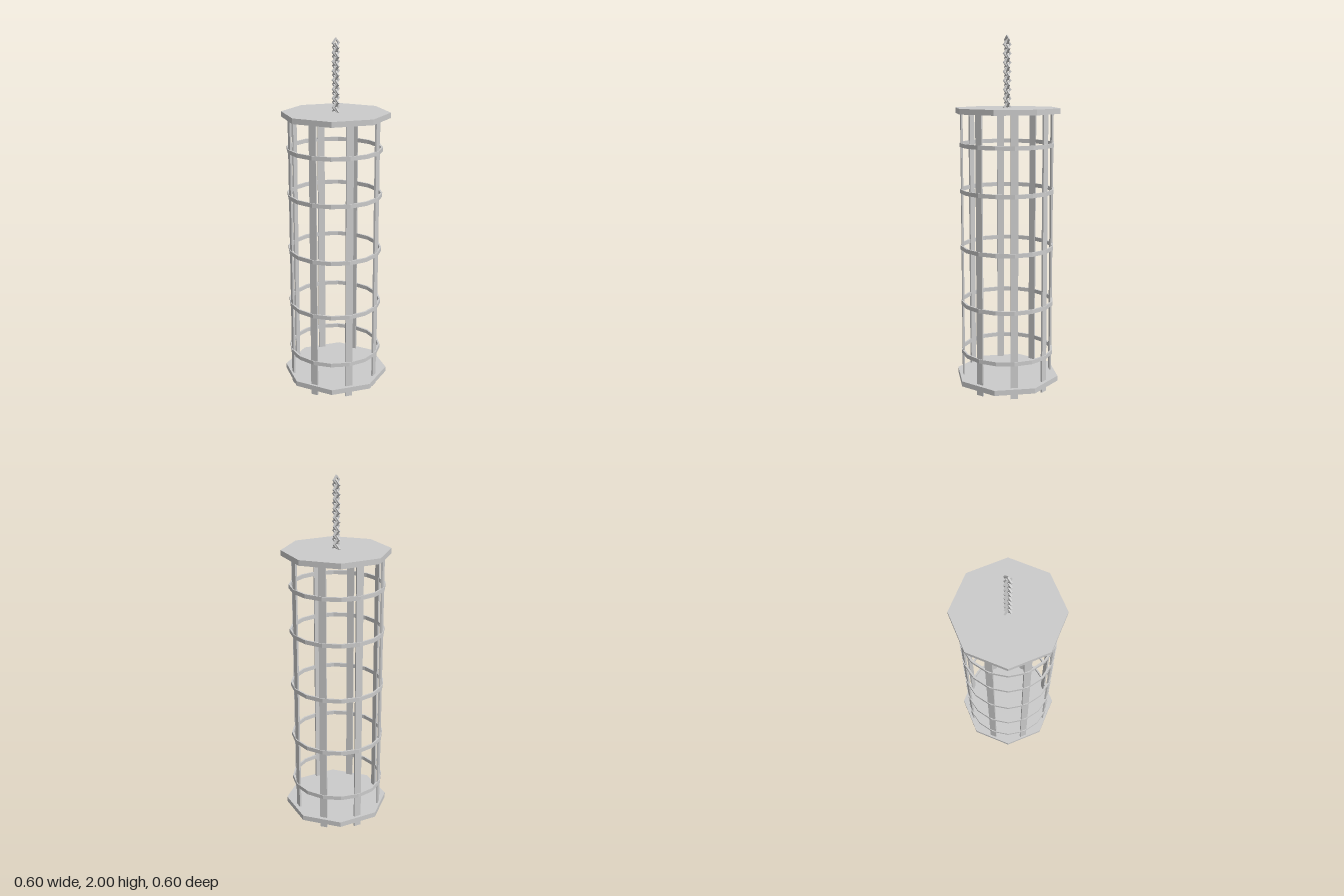
import * as THREE from 'three';

const material = new THREE.MeshStandardMaterial({ color: 0xcccccc, flatShading: true });

// Regular polygon outline with a corner on the +x axis
function polygon(radius, sides, Type = THREE.Shape) {
  const points = [];
  for (let i = 0; i < sides; i++) {
    const a = (i / sides) * Math.PI * 2;
    points.push(new THREE.Vector2(Math.cos(a) * radius, Math.sin(a) * radius));
  }
  return new Type(points);
}

// Flat polygonal band, centred on the origin and facing z
function band(outer, inner, sides, depth) {
  const shape = polygon(outer, sides);
  shape.holes.push(polygon(inner, sides, THREE.Path));
  return new THREE.ExtrudeGeometry(shape, { depth, bevelEnabled: false }).translate(0, 0, -depth / 2);
}

function add(parent, name, geometry, x = 0, y = 0, z = 0) {
  const mesh = new THREE.Mesh(geometry, material);
  mesh.name = name;
  mesh.position.set(x, y, z);
  parent.add(mesh);
  return mesh;
}

export function createModel() {
  const model = new THREE.Group();
  model.name = 'hangingCage';

  // Octagonal floor and roof
  const plate = new THREE.CylinderGeometry(0.3, 0.3, 0.03, 8);
  add(model, 'floorPlate', plate, 0, 0.05, 0);
  add(model, 'roofPlate', plate, 0, 1.59, 0);

  // Bars and hoops sit slightly off the plates' centre
  const cage = new THREE.Group();
  cage.name = 'cage';
  cage.position.set(-0.003, 0, 0.005);
  model.add(cage);

  // Flat upright bars, one per side of the octagon
  const bar = new THREE.BoxGeometry(0.041, 1.585, 0.01);
  for (let i = 0; i < 8; i++) {
    const a = ((i + 0.5) / 8) * Math.PI * 2;
    const r = 0.2555;
    add(cage, 'uprightBar', bar, Math.sin(a) * r, 0.7925, Math.cos(a) * r).rotation.y = a;
  }

  // Horizontal hoops
  const hoop = band(0.267, 0.257, 16, 0.023).rotateX(Math.PI / 2);
  for (const y of [0.205, 0.497, 0.82, 1.143, 1.402]) add(cage, 'hoop', hoop, 0, y, 0);

  // Chain of diamond links, alternately turned by a quarter
  const chain = new THREE.Group();
  chain.name = 'chain';
  model.add(chain);
  const link = band(0.0262, 0.0145, 4, 0.009);
  for (let i = 0; i < 16; i++) {
    const mesh = add(chain, 'chainLink', link, 0, 1.9738 - i * 0.0244, 0);
    mesh.rotation.y = i % 2 ? 0 : Math.PI / 2;
  }

  return model;
}
